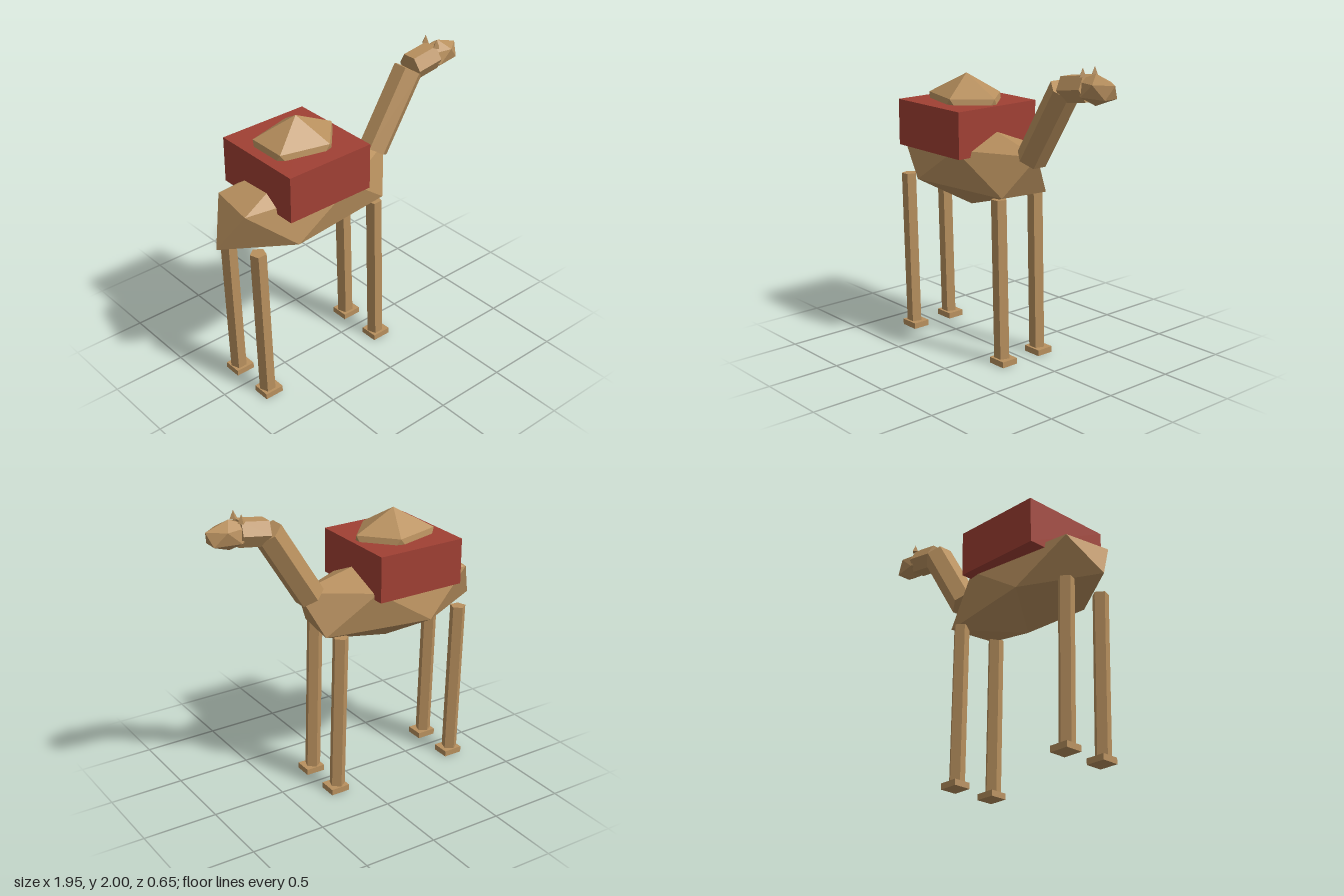
import * as THREE from 'three';
import { ConvexGeometry } from 'three/addons/geometries/ConvexGeometry.js';

const tan = new THREE.MeshStandardMaterial({ name: 'sandyFur', color: 0xb8905e, flatShading: true });
const red = new THREE.MeshStandardMaterial({ name: 'redPack', color: 0xa04034, flatShading: true });

function add(parent, name, geometry, material, x, y, z) {
  const mesh = new THREE.Mesh(geometry, material);
  mesh.name = name;
  mesh.position.set(x, y, z);
  parent.add(mesh);
  return mesh;
}

// Twenty-sided ball standing on a point: two poles and two rings of five
function facetedBall(rx, ry, rz, turn = 0) {
  const points = [new THREE.Vector3(0, ry, 0), new THREE.Vector3(0, -ry, 0)];
  const ring = 0.8944, level = 0.4472;
  for (let i = 0; i < 5; i++) {
    for (const side of [1, -1]) {
      const a = (i * 2 * Math.PI) / 5 + (side < 0 ? Math.PI : 0) + turn;
      points.push(new THREE.Vector3(Math.cos(a) * ring * rx, side * level * ry, Math.sin(a) * ring * rz));
    }
  }
  return new ConvexGeometry(points);
}

// Straight prism between two points
function limb(parent, name, from, to, radius, sides, start = 0) {
  const a = new THREE.Vector3(...from), b = new THREE.Vector3(...to);
  const geometry = new THREE.CylinderGeometry(radius, radius, a.distanceTo(b), sides, 1, false, start);
  const mid = a.clone().add(b).multiplyScalar(0.5);
  const mesh = add(parent, name, geometry, tan, mid.x, mid.y, mid.z);
  mesh.rotation.z = -Math.atan2(b.x - a.x, b.y - a.y);
  return mesh;
}

export function createModel() {
  const model = new THREE.Group();
  model.name = 'packAnimal';

  // Body, pack and hump
  add(model, 'body', facetedBall(0.742, 0.3, 0.315, 0.064), tan, -0.317, 1.25, 0);
  add(model, 'pack', new THREE.BoxGeometry(0.62, 0.305, 0.65), red, -0.36, 1.4975, 0);
  add(model, 'hump', facetedBall(0.315, 0.253, 0.252), tan, -0.362, 1.575, 0);

  // Neck and head
  limb(model, 'lowerNeck', [0.27, 1.36, 0], [0.565, 1.84, 0], 0.1, 6);
  limb(model, 'upperNeck', [0.58, 1.845, 0], [0.77, 1.873, 0], 0.092, 6);
  add(model, 'head', facetedBall(0.172, 0.095, 0.095), tan, 0.82, 1.87, 0);

  for (const side of [1, -1]) {
    const label = side > 0 ? 'Left' : 'Right';
    add(model, 'ear' + label, new THREE.ConeGeometry(0.026, 0.055, 4), tan, 0.76, 1.9725, side * 0.05);

    // Slightly leaning legs with block feet
    for (const [pair, x] of [['front', 0.14], ['hind', -0.795]]) {
      const z = side * 0.155;
      limb(model, pair + 'Leg' + label, [x + 0.03, 0.01, z], [x, 1.1, z], 0.053, 5, Math.PI);
      add(model, pair + 'Foot' + label, new THREE.BoxGeometry(0.132, 0.04, 0.12), tan, x + 0.04, 0.02, z);
    }
  }
  return model;
}
